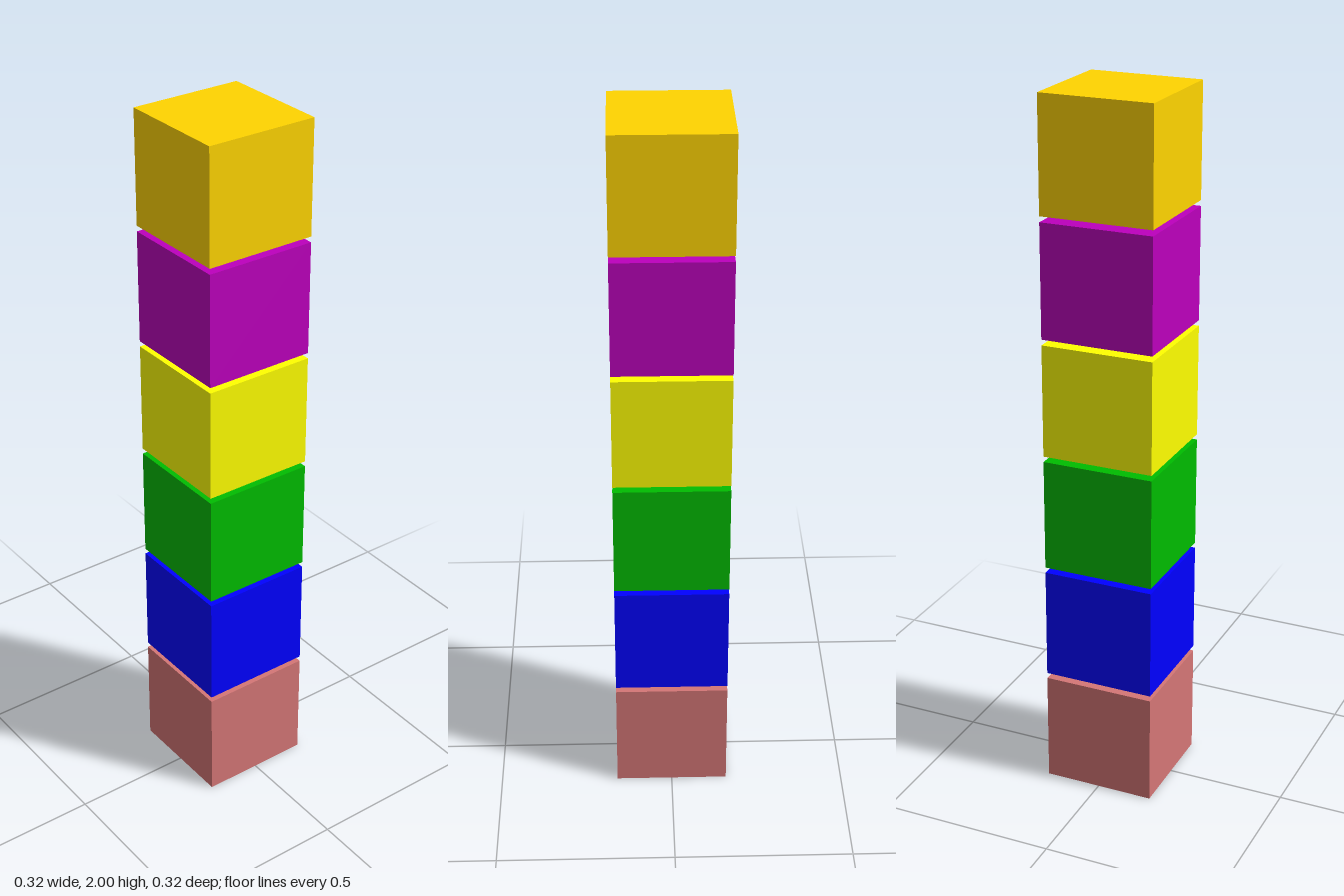
import * as THREE from 'three';

const SIZE = 0.32;   // cube edge
const PITCH = 0.336; // edge plus the small gap

// Cubes from bottom to top
const CUBES = [
  ['roseCube', 0xd47676],
  ['blueCube', 0x0000ff],
  ['greenCube', 0x00bc00],
  ['yellowCube', 0xffff00],
  ['purpleCube', 0xbc00bc],
  ['goldCube', 0xffd400],
];

export function createModel() {
  const tower = new THREE.Group();
  tower.name = 'cubeTower';
  const geometry = new THREE.BoxGeometry(SIZE, SIZE, SIZE);

  // Evenly spaced stack of separate cubes
  CUBES.forEach(([name, color], i) => {
    const cube = new THREE.Mesh(geometry, new THREE.MeshStandardMaterial({ color }));
    cube.name = name;
    cube.position.y = SIZE / 2 + i * PITCH;
    tower.add(cube);
  });
  return tower;
}
